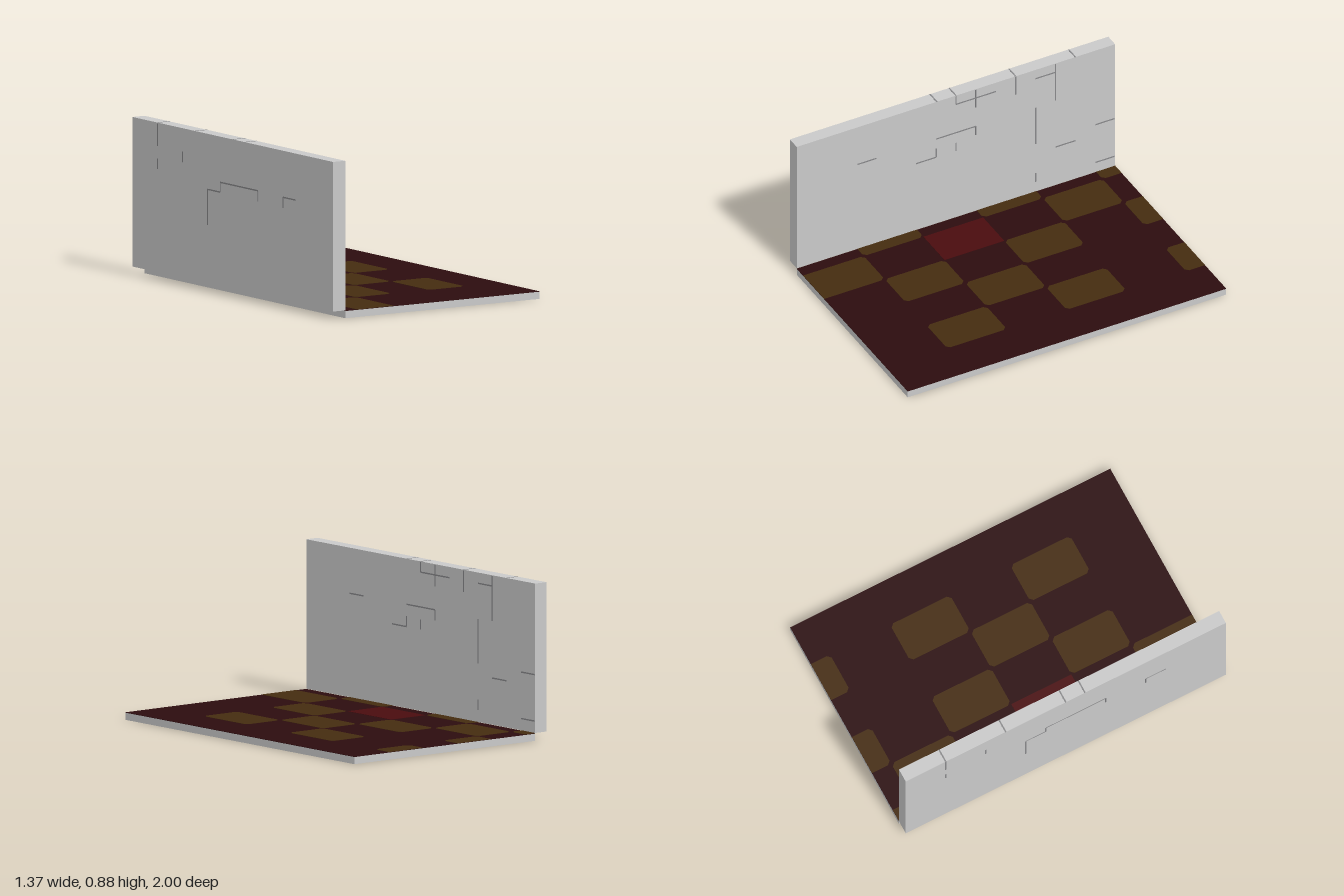
import * as THREE from 'three';

const mat = (name, color) => {
  const m = new THREE.MeshStandardMaterial({ color });
  m.name = name;
  return m;
};

export function createModel() {
  const root = new THREE.Group();
  root.name = 'wallAndFloor';
  const concrete = mat('light concrete', 0xc9c9c9);
  const seam = mat('seam grey', 0x88888a);
  const maroon = mat('dark maroon carpet', 0x2c0c0e);
  const olive = mat('olive brown carpet', 0x452c10);
  const red = mat('deep red carpet', 0x4a0c0e);

  // Box given by its limits on each axis
  const box = (name, material, x0, x1, y0, y1, z0, z1, parent = root) => {
    const mesh = new THREE.Mesh(new THREE.BoxGeometry(x1 - x0, y1 - y0, z1 - z0), material);
    mesh.position.set((x0 + x1) / 2, (y0 + y1) / 2, (z0 + z1) / 2);
    mesh.name = name;
    parent.add(mesh);
  };

  const L = -0.605, R = 0.685, OUT = -0.685, TOP = 0.88;
  box('floorSlab', concrete, L, R, 0, 0.04, -1, 1);
  box('carpet', maroon, L, R, 0.04, 0.0425, -1, 1);
  box('wall', concrete, OUT, L, 0.044, TOP, -1, 1);

  // Carpet tiles: corners are cut except where the floor edge trims a tile
  const tiles = new THREE.Group();
  tiles.name = 'carpetTiles';
  root.add(tiles);
  const xs = [L, -0.53, -0.285, -0.045, 0.2, 0.44, R];
  const zs = [-1, -0.88, -0.505, -0.13, 0.245, 0.62, 1];
  const tile = (col, row, material, cut) => {
    const [x0, x1, z0, z1] = [xs[col], xs[col + 1], zs[row], zs[row + 1]];
    const pts = [];
    const corner = (x, z, sx, sz, xFirst) => {
      const c = x === L || Math.abs(z) === 1 ? 0 : cut;
      const a = [x + sx * c, z], b = [x, z + sz * c];
      pts.push(...(xFirst ? [a, b] : [b, a]));
    };
    corner(x0, z0, 1, 1, false);
    corner(x1, z0, -1, 1, true);
    corner(x1, z1, -1, -1, false);
    corner(x0, z1, 1, -1, true);
    const shape = new THREE.Shape(pts.map(([x, z]) => new THREE.Vector2(x, -z)));
    const geo = new THREE.ExtrudeGeometry(shape, { depth: 0.0025, bevelEnabled: false });
    geo.rotateX(-Math.PI / 2);
    const mesh = new THREE.Mesh(geo, material);
    mesh.position.y = 0.0415;
    mesh.name = 'carpetTile';
    tiles.add(mesh);
  };
  for (const row of [0, 2, 4]) for (const col of [0, 2, 4]) tile(col, row, olive, 0.02);
  for (const [col, row] of [[1, 1], [3, 3], [1, 5]]) tile(col, row, olive, 0.02);
  tile(1, 3, red, 0);

  // Thin seams on a wall face; each entry is z0, y0, z1, y1
  const seams = new THREE.Group();
  seams.name = 'wallSeams';
  root.add(seams);
  const w = 0.004, t = 0.001;
  const addSeams = (name, x, list) => {
    for (const [z0, y0, z1, y1] of list) {
      const pz = z0 === z1 ? w : 0, py = y0 === y1 ? w : 0;
      box(name, seam, x - t, x + t, y0 - py, y1 + py, z0 - pz, z1 + pz, seams);
    }
  };
  addSeams('innerSeam', L, [
    [0, 0.82, 0, 0.876], [-0.25, 0.82, 0, 0.82], [-0.125, 0.755, -0.125, 0.876],
    [-0.375, 0.755, -0.375, 0.876], [-0.62, 0.82, -0.5, 0.82], [-0.625, 0.625, -0.625, 0.876],
    [0.5, 0.625, 0.62, 0.625], [-0.125, 0.625, 0.125, 0.625], [-0.125, 0.565, -0.125, 0.625],
    [0.125, 0.5, 0.125, 0.56], [0.125, 0.5, 0.25, 0.5], [0, 0.5, 0, 0.555],
    [-0.5, 0.37, -0.5, 0.62], [-0.996, 0.37, -0.875, 0.37], [-0.75, 0.305, -0.625, 0.305],
    [-0.5, 0.11, -0.5, 0.17], [-0.996, 0.11, -0.875, 0.11],
  ]);
  addSeams('outerSeam', OUT, [
    [-0.75, 0.75, -0.75, 0.876], [-0.75, 0.62, -0.75, 0.68], [-0.5, 0.69, -0.5, 0.75],
    [-0.25, 0.37, -0.25, 0.57], [-0.25, 0.57, -0.125, 0.57], [-0.125, 0.57, -0.125, 0.625],
    [-0.125, 0.625, 0.25, 0.625], [0.25, 0.565, 0.25, 0.625],
    [0.5, 0.56, 0.5, 0.62], [0.5, 0.62, 0.625, 0.62],
  ]);
  // Seams across the top of the wall
  for (const z of [-0.75, -0.375, 0, 0.12])
    box('topSeam', seam, OUT, L, TOP - t, TOP + t, z - w, z + w, seams);

  return root;
}
